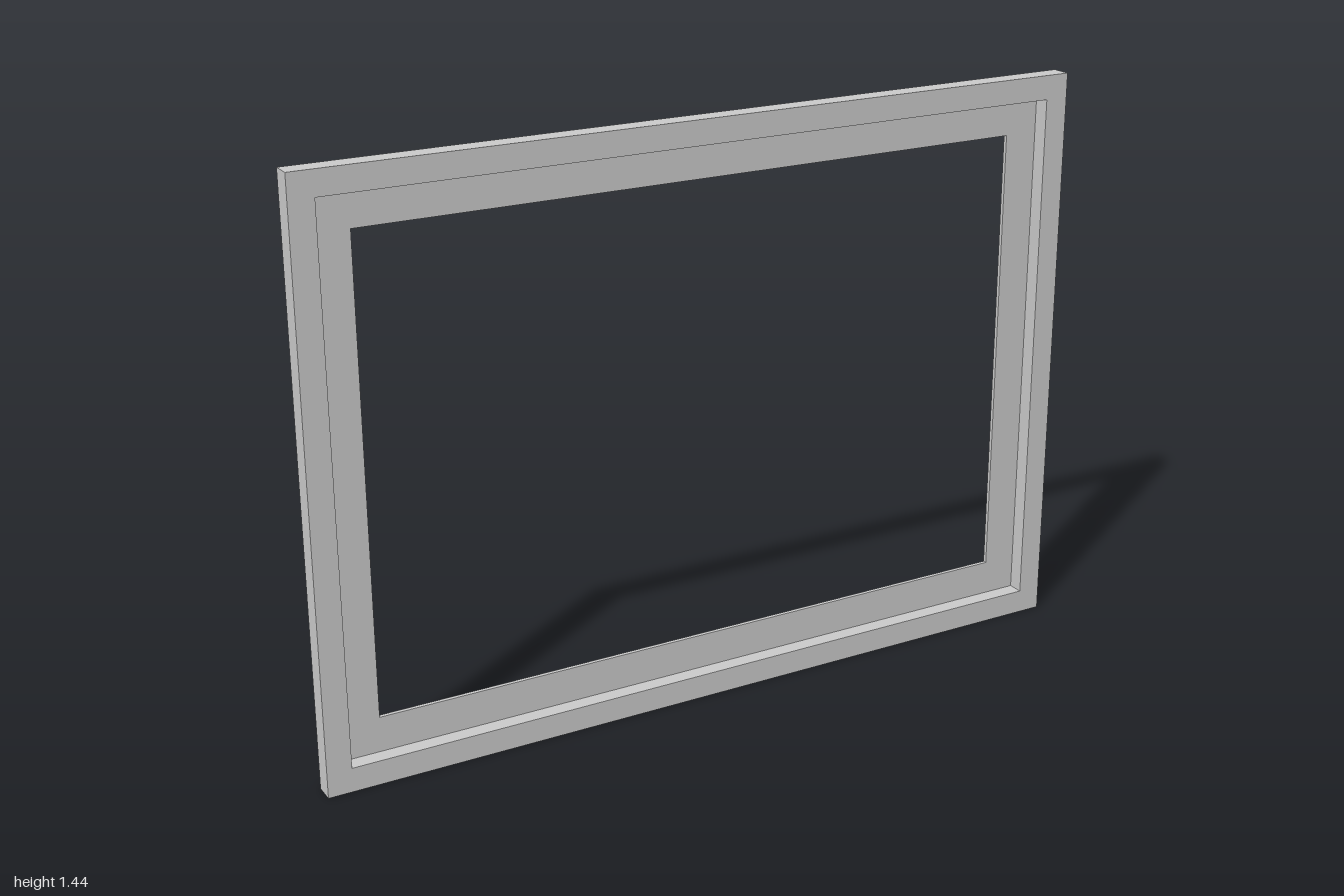
import * as THREE from 'three';

const WIDTH = 2, HEIGHT = 1.44, DEPTH = 0.05;
const RIM = 0.06, BORDER = 0.147, LIP = 0.01;

// Sweeps a closed section of [inset, z] points around a rectangle with mitred corners.
function sweepRectangle(width, height, section) {
  const corners = [[-1, -1], [1, -1], [1, 1], [-1, 1]];
  const point = (c, [inset, z]) => [
    corners[c % 4][0] * (width / 2 - inset),
    height / 2 + corners[c % 4][1] * (height / 2 - inset),
    z,
  ];
  const positions = [];
  for (let c = 0; c < 4; c++) {
    section.forEach((p, i) => {
      const q = section[(i + 1) % section.length];
      const a = point(c, p), b = point(c + 1, p);
      const d = point(c + 1, q), e = point(c, q);
      positions.push(...a, ...b, ...d, ...a, ...d, ...e);
    });
  }
  const geometry = new THREE.BufferGeometry();
  geometry.setAttribute('position', new THREE.Float32BufferAttribute(positions, 3));
  geometry.computeVertexNormals();
  return geometry;
}

export function createModel() {
  const group = new THREE.Group();
  group.name = 'pictureFrame';

  // Stepped section: tall outer rim, then a thin lip flush with the back
  const back = -DEPTH / 2, front = DEPTH / 2;
  const section = [
    [0, back], [0, front],
    [RIM, front], [RIM, back + LIP],
    [BORDER, back + LIP], [BORDER, back],
  ];
  const frame = new THREE.Mesh(
    sweepRectangle(WIDTH, HEIGHT, section),
    new THREE.MeshStandardMaterial({ color: 0xcccccc, flatShading: true })
  );
  frame.name = 'rebatedFrame';
  group.add(frame);
  return group;
}
